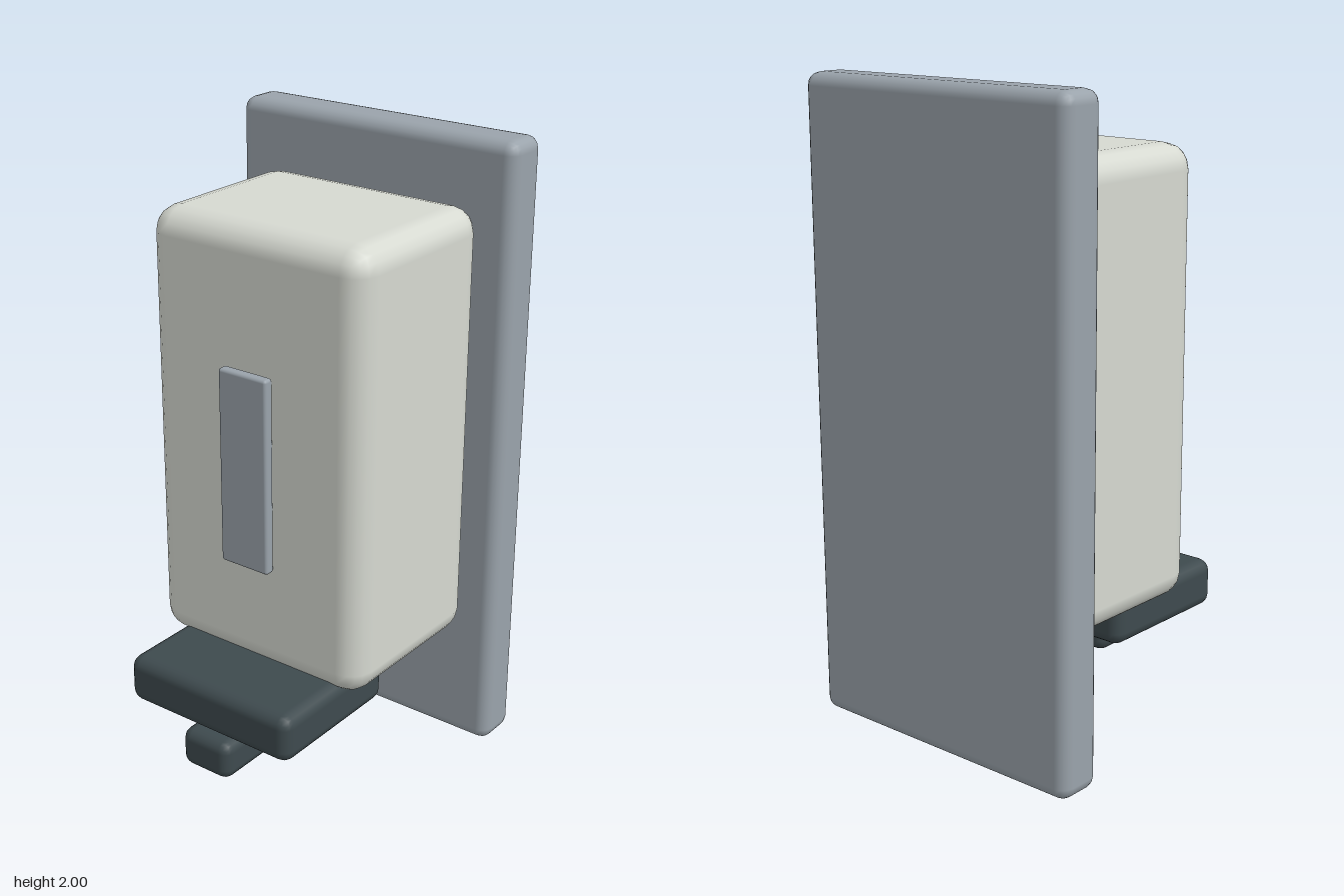
import * as THREE from 'three';
import { RoundedBoxGeometry } from 'three/addons/geometries/RoundedBoxGeometry.js';

export function createModel() {
  const group = new THREE.Group();
  const material = (name, color) => {
    const m = new THREE.MeshStandardMaterial({ color });
    m.name = name;
    return m;
  };
  const greyMetal = material('greyMetal', 0x9aa3ab);
  const offWhite = material('offWhitePlastic', 0xd6d9d1);
  const charcoal = material('charcoalPlastic', 0x3e4a4e);

  // Soft-edged block, centred on x, spanning the given y and z ranges
  const block = (name, mat, width, [y0, y1], [z0, z1], radius) => {
    const mesh = new THREE.Mesh(
      new RoundedBoxGeometry(width, y1 - y0, z1 - z0, 2, radius), mat);
    mesh.name = name;
    mesh.position.set(0, (y0 + y1) / 2, (z0 + z1) / 2);
    group.add(mesh);
  };

  // Wall plate, with the back of the housing sunk into it
  block('backPlate', greyMetal, 1.0, [0, 2], [-0.492, -0.338], 0.04);
  block('housing', offWhite, 0.782, [0.398, 1.802], [-0.365, 0.242], 0.08);
  // Level window floating just off the housing front
  block('levelWindow', greyMetal, 0.176, [0.755, 1.38], [0.25, 0.285], 0.01);
  // Push bar and the outlet beneath it
  block('pushBar', charcoal, 0.624, [0.27, 0.427], [-0.017, 0.48], 0.04);
  block('nozzle', charcoal, 0.184, [0.128, 0.256], [0.183, 0.492], 0.035);

  return group;
}
